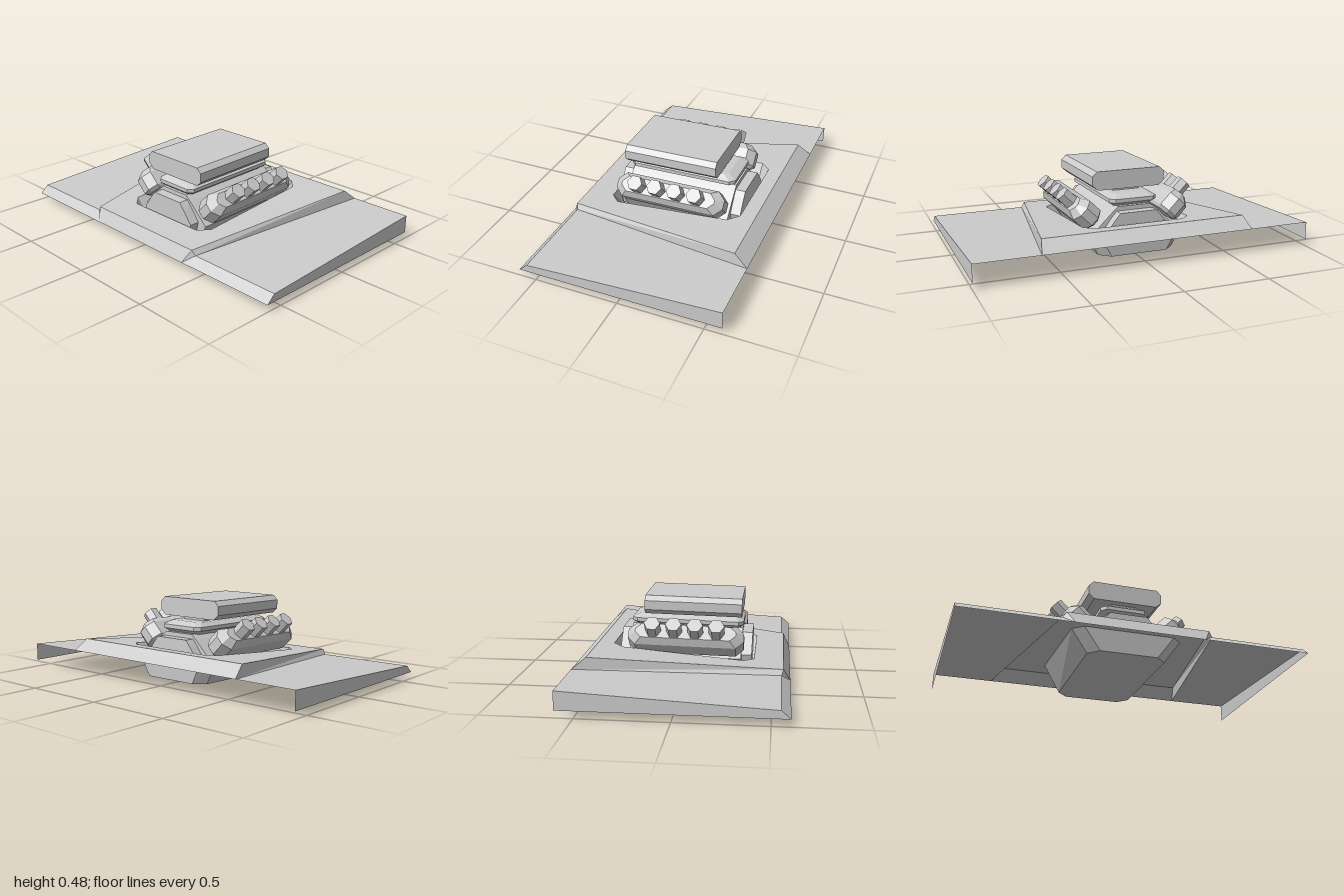
import * as THREE from 'three';

const grey = new THREE.MeshStandardMaterial({ color: 0xcccccc, flatShading: true });
const sheet = new THREE.MeshStandardMaterial({ color: 0xcccccc, flatShading: true, side: THREE.DoubleSide });

function add(parent, name, geometry, material = grey) {
  const mesh = new THREE.Mesh(geometry, material);
  mesh.name = name;
  parent.add(mesh);
  return mesh;
}

function fromPoints(points) {
  const g = new THREE.BufferGeometry().setFromPoints(points);
  g.computeVertexNormals();
  return g;
}

// Chamfered rectangle, counter-clockwise seen from above
function octagon(hx, z0, z1, c) {
  return [[hx, z1 - c], [hx, z0 + c], [hx - c, z0], [c - hx, z0],
    [-hx, z0 + c], [-hx, z1 - c], [c - hx, z1], [hx - c, z1]];
}

// Skin over chamfered rectangles [y or y(z), halfWidth, z0, z1, chamfer], low to high
function loft(rings, topCap = true) {
  const loops = rings.map(([y, ...r]) => octagon(...r).map(([x, z]) =>
    new THREE.Vector3(x, typeof y === 'function' ? y(z) : y, z)));
  const out = [];
  for (let k = 0; k + 1 < loops.length; k++) {
    for (let i = 0; i < 8; i++) {
      const j = (i + 1) % 8, lo = loops[k], up = loops[k + 1];
      out.push(lo[i], lo[j], up[j], lo[i], up[j], up[i]);
    }
  }
  const bottom = loops[0], top = loops[loops.length - 1];
  for (let i = 1; i < 7; i++) {
    out.push(bottom[0], bottom[i + 1], bottom[i]);
    if (topCap) out.push(top[0], top[i], top[i + 1]);
  }
  return fromPoints(out);
}

// Symmetric profile (right half, bottom to top) extruded along z
function prism(half, z0, z1) {
  const pts = [...half, ...half.map(([x, y]) => [-x, y]).reverse()];
  const shape = new THREE.Shape(pts.map(([x, y]) => new THREE.Vector2(x, y)));
  return new THREE.ExtrudeGeometry(shape, { depth: z1 - z0, bevelEnabled: false }).translate(0, 0, z0);
}

function quads(list) {
  const out = [];
  for (const q of list) {
    const [a, b, c, d] = q.map(p => new THREE.Vector3(...p));
    out.push(a, b, c, a, c, d);
  }
  return fromPoints(out);
}

export function createModel() {
  const model = new THREE.Group();
  model.name = 'hoodWithEngine';

  const hood = new THREE.Group();
  hood.name = 'hood';
  model.add(hood);

  // Raised centre panel with the engine opening
  const topY = z => 0.115 + (0.56 - z) * 0.088;
  const opening = [0.325, -0.43, 0.39, 0.06];
  const panel = new THREE.Shape([[0.61, -0.52], [0.41, 0.56], [-0.41, 0.56], [-0.61, -0.52]]
    .map(([x, z]) => new THREE.Vector2(x, -z)));
  panel.holes.push(new THREE.Path(octagon(...opening).map(([x, z]) => new THREE.Vector2(x, -z))));
  const panelGeo = new THREE.ShapeGeometry(panel).rotateX(-Math.PI / 2);
  const pos = panelGeo.attributes.position;
  for (let i = 0; i < pos.count; i++) pos.setY(i, topY(pos.getZ(i)));
  panelGeo.computeVertexNormals();
  add(hood, 'centrePanel', panelGeo, sheet);

  // Front and rear slopes of the raised panel
  add(hood, 'frontLip', quads([[[-0.41, 0.115, 0.56], [-0.37, 0.04, 0.6], [0.37, 0.04, 0.6], [0.41, 0.115, 0.56]]]), sheet);
  add(hood, 'rearSlope', quads([[[0.61, 0.21, -0.52], [0.63, 0.145, -0.6], [-0.63, 0.145, -0.6], [-0.61, 0.21, -0.52]]]), sheet);

  // Side panels: top, step up to the centre, front lip and outer wall
  for (const s of [1, -1]) {
    const A = [s * 0.61, 0.21, -0.52], B = [s * 0.41, 0.115, 0.56];
    const C = [s * 0.63, 0.145, -0.6], D = [s * 0.43, 0.085, 0.55], E = [s * 0.37, 0.04, 0.6];
    const F = [s, 0.145, -0.6], G = [s, 0.085, 0.55], H = [s, 0.04, 0.6], K = [s, 0.04, -0.6];
    const faces = [[C, D, G, F], [A, B, D, C], [D, E, H, G], [B, E, E, D], [F, G, H, K]];
    add(hood, s > 0 ? 'leftPanel' : 'rightPanel',
      quads(s > 0 ? faces : faces.map(f => [...f].reverse())), sheet);
  }

  // Tapered tub below the opening
  add(hood, 'engineTub', loft([
    [z => 0.01 - 0.027 * z, 0.23, -0.42, 0.375, 0.06],
    [topY, ...opening],
  ], false), sheet);

  // Engine, tipped slightly forward
  const engine = new THREE.Group();
  engine.name = 'engine';
  engine.rotation.x = 0.022;
  model.add(engine);

  add(engine, 'block', prism([[0.2, 0.03], [0.26, 0.13], [0.13, 0.255], [0.1, 0.28]], -0.35, 0.31));
  add(engine, 'endCovers', prism([[0.17, 0.03], [0.2, 0.14], [0.14, 0.22], [0.11, 0.255]], -0.41, 0.37));
  add(engine, 'intake', loft([
    [0.27, 0.1, -0.31, 0.28, 0.02],
    [0.3, 0.145, -0.35, 0.315, 0.03],
    [0.322, 0.145, -0.35, 0.315, 0.03],
    [0.345, 0.11, -0.3, 0.28, 0.02],
  ]));
  add(engine, 'intakeNeck', new THREE.BoxGeometry(0.16, 0.05, 0.48).translate(0, 0.355, 0.02));
  add(engine, 'airScoop', prism([[0.19, 0.363], [0.223, 0.392], [0.223, 0.445], [0.195, 0.473]], -0.265, 0.305));

  // Cylinder banks leaning out at 45 degrees, each with four hexagonal stubs
  for (const s of [1, -1]) {
    const bank = new THREE.Group();
    bank.name = s > 0 ? 'leftBank' : 'rightBank';
    bank.position.set(s * 0.279, 0.243, 0);
    bank.rotation.z = -s * Math.PI / 4;
    engine.add(bank);
    add(bank, 'cylinderHead', loft([
      [-0.075, 0.058, -0.32, 0.3, 0.04],
      [-0.055, 0.072, -0.345, 0.325, 0.045],
      [0.035, 0.072, -0.345, 0.325, 0.045],
      [0.075, 0.045, -0.3, 0.28, 0.035],
    ]));
    for (let i = 0; i < 4; i++) {
      add(bank, 'exhaustStub', new THREE.CylinderGeometry(0.046, 0.046, 0.11, 6))
        .position.set(0, 0.1, 0.17 - i * 0.122);
    }
  }
  return model;
}
